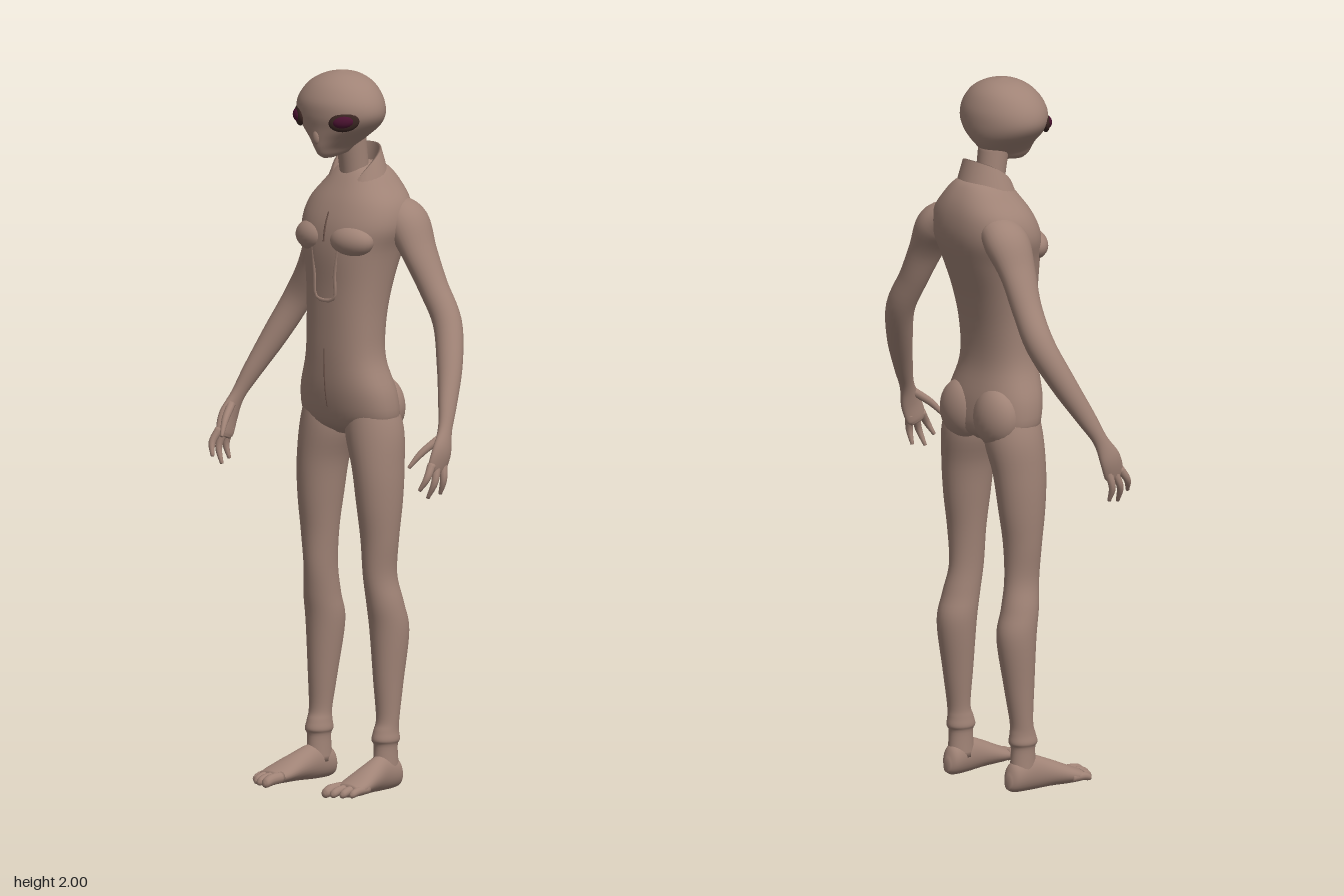
import * as THREE from 'three';

const UP = new THREE.Vector3(0, 1, 0), DOWN = new THREE.Vector3(0, -1, 0), FORE = new THREE.Vector3(0, 0, 1);
const X = new THREE.Vector3(1, 0, 0);

const skin = new THREE.MeshStandardMaterial({ color: 0xa08376 });
skin.name = 'skin';
const collarSkin = new THREE.MeshStandardMaterial({ color: 0xa08376, side: THREE.DoubleSide });
collarSkin.name = 'collar skin';
const seamMat = new THREE.MeshStandardMaterial({ color: 0x6b5249 });
seamMat.name = 'seam brown';
const socketMat = new THREE.MeshStandardMaterial({ color: 0x3a2622 });
socketMat.name = 'socket brown';
const eyeMat = new THREE.MeshStandardMaterial({ color: 0x4a1230 });
eyeMat.name = 'eye maroon';

// Smooth skin through sections [x, y, z, halfWidth, halfDepth]; axis fixes the ring plane.
function loft(sections, { axis = null, power = 2, sides = 28, sub = 5 } = {}) {
  const first = sections[0], last = sections[sections.length - 1];
  const path = new THREE.CatmullRomCurve3(sections.map(s => new THREE.Vector3(s[0], s[1], s[2])), false, 'catmullrom', 0.5);
  const size = new THREE.CatmullRomCurve3(sections.map(s => new THREE.Vector3(s[3], s[4], 0)), false, 'catmullrom', 0.5);
  const n = (sections.length - 1) * sub, pos = [], idx = [];
  const round = v => Math.sign(v) * Math.pow(Math.abs(v), 2 / power);
  const ring = (t, scale) => {
    const c = path.getPoint(t), r = size.getPoint(t);
    const T = axis || path.getTangent(t);
    const A = X.clone().addScaledVector(T, -X.dot(T)).normalize();
    const B = new THREE.Vector3().crossVectors(T, A);
    for (let j = 0; j < sides; j++) {
      const a = j / sides * Math.PI * 2;
      const p = c.clone()
        .addScaledVector(A, Math.max(r.x, 0.0005) * scale * round(Math.cos(a)))
        .addScaledVector(B, Math.max(r.y, 0.0005) * scale * round(Math.sin(a)));
      pos.push(p.x, p.y, p.z);
    }
  };
  ring(0, 0.01);
  for (let i = 0; i <= n; i++) ring(i / n, 1);
  ring(1, 0.01);
  for (let i = 0; i < n + 2; i++) for (let j = 0; j < sides; j++) {
    const k = (j + 1) % sides, a = i * sides + j, b = i * sides + k;
    idx.push(a, b, b + sides, a, b + sides, a + sides);
  }
  return surface(pos, idx);
}

function surface(pos, idx) {
  const g = new THREE.BufferGeometry();
  g.setAttribute('position', new THREE.Float32BufferAttribute(pos, 3));
  g.setIndex(idx);
  g.computeVertexNormals();
  return g;
}

// Upright body section from [y, halfWidth, frontZ, backZ].
const slab = ([y, w, f, b]) => [0, y, (f + b) / 2, w, (f - b) / 2];

function blob(x, y, z, rx, ry, rz, yaw = 0, roll = 0) {
  return new THREE.SphereGeometry(1, 24, 16).scale(rx, ry, rz).rotateZ(roll).rotateY(yaw).translate(x, y, z);
}

function mirrored(geo) {
  const g = geo.clone().scale(-1, 1, 1), ix = g.index.array;
  for (let i = 0; i < ix.length; i += 3) [ix[i], ix[i + 1]] = [ix[i + 1], ix[i]];
  g.computeVertexNormals();
  return g;
}

function seam(points, r) {
  const curve = new THREE.CatmullRomCurve3(points.map(p => new THREE.Vector3(...p)));
  return new THREE.TubeGeometry(curve, 24, r, 6);
}

// Standing collar, open at the front: outer flare, rim, then an inner lining.
function collar() {
  const rows = [
    s => [0.125, 0.12, 1.64 - 0.06 * s],
    s => [0.088, 0.085, 1.72 - 0.09 * s * s],
    s => [0.070, 0.068, 1.785 - 0.15 * s ** 2.2],
    s => [0.064, 0.061, 1.785 - 0.15 * s ** 2.2],
    s => [0.060, 0.058, 1.71 - 0.12 * s * s],
  ];
  const n = 32, pos = [], idx = [];
  rows.forEach((row, i) => {
    for (let j = 0; j <= n; j++) {
      const u = j / n * 2 - 1, a = u * Math.PI * 0.96;
      const [rx, rz, y] = row(Math.abs(u));
      pos.push(Math.sin(a) * rx, y, -0.055 - Math.cos(a) * rz);
      if (i < rows.length - 1 && j < n) {
        const p = i * (n + 1) + j, q = p + n + 1;
        idx.push(p, q, p + 1, p + 1, q, q + 1);
      }
    }
  });
  return surface(pos, idx);
}

export function createModel() {
  const model = new THREE.Group();
  model.name = 'alienFigure';
  const add = (name, geo, mat = skin) => {
    const m = new THREE.Mesh(geo, mat);
    m.name = name;
    model.add(m);
  };
  const pair = (name, geo, mat) => {
    add('left' + name, geo, mat);
    add('right' + name, mirrored(geo), mat);
  };

  // Head: wide dome narrowing to a small chin
  add('head', loft([
    [1.764, 0.012, 0.075, 0.03], [1.775, 0.026, 0.092, -0.03], [1.795, 0.042, 0.102, -0.06],
    [1.82, 0.072, 0.106, -0.085], [1.85, 0.112, 0.109, -0.1], [1.885, 0.134, 0.114, -0.105],
    [1.925, 0.128, 0.11, -0.101], [1.965, 0.098, 0.085, -0.082], [1.99, 0.053, 0.048, -0.05],
    [2.0, 0.004, 0.006, -0.006],
  ].map(slab), { axis: UP, sides: 40 }));
  add('neck', loft([[0, 1.6, -0.06, 0.05, 0.05], [0, 1.7, -0.05, 0.041, 0.042], [0, 1.83, -0.03, 0.042, 0.045]], { axis: UP }));
  pair('EyeSocket', blob(0.085, 1.874, 0.082, 0.043, 0.027, 0.012, 0.64, 0.15), socketMat);
  pair('Eye', blob(0.086, 1.875, 0.085, 0.031, 0.018, 0.015, 0.64, 0.15), eyeMat);
  add('nose', blob(0, 1.825, 0.104, 0.012, 0.02, 0.008));

  // Torso
  add('torso', loft([
    [0.985, 0.06, 0.0, -0.08], [1.02, 0.148, 0.045, -0.12], [1.1, 0.155, 0.066, -0.12],
    [1.2, 0.122, 0.072, -0.1], [1.3, 0.118, 0.072, -0.105], [1.4, 0.125, 0.072, -0.128],
    [1.5, 0.14, 0.076, -0.165], [1.57, 0.16, 0.068, -0.186], [1.63, 0.148, 0.045, -0.188],
    [1.68, 0.108, 0.015, -0.176], [1.72, 0.07, -0.015, -0.15], [1.735, 0.03, -0.04, -0.12],
  ].map(slab), { axis: UP, power: 2.3, sides: 40 }));
  pair('Chest', blob(0.07, 1.535, 0.035, 0.068, 0.045, 0.046, 0.2));
  pair('Buttock', blob(0.068, 1.06, -0.085, 0.075, 0.085, 0.055));
  add('collar', collar(), collarSkin);

  // Suit seams
  add('upperZip', seam([[0, 1.61, 0.053], [0, 1.57, 0.068], [0, 1.53, 0.074]], 0.003), seamMat);
  add('lowerZip', seam([[0, 1.23, 0.072], [0, 1.15, 0.071], [0, 1.08, 0.062], [0, 1.03, 0.047]], 0.002), seamMat);
  add('chestPanelEdge', seam([
    [-0.05, 1.53, 0.066], [-0.038, 1.44, 0.069], [-0.034, 1.375, 0.067], [0, 1.365, 0.069],
    [0.034, 1.375, 0.067], [0.038, 1.44, 0.069], [0.05, 1.53, 0.066],
  ], 0.006));

  // Arms, from shoulder to palm
  pair('Arm', loft([
    [0.09, 1.61, -0.11, 0.045, 0.055], [0.14, 1.575, -0.112, 0.055, 0.068], [0.185, 1.5, -0.113, 0.042, 0.056],
    [0.23, 1.41, -0.12, 0.039, 0.044], [0.285, 1.315, -0.12, 0.04, 0.041], [0.333, 1.21, -0.08, 0.036, 0.036],
    [0.373, 1.11, -0.03, 0.025, 0.028], [0.395, 1.045, 0.003, 0.018, 0.022], [0.407, 0.99, 0.028, 0.017, 0.034],
    [0.405, 0.945, 0.045, 0.013, 0.034], [0.403, 0.93, 0.05, 0.008, 0.024],
  ]));
  // Each finger: base, knuckle, tip
  [
    [[0.395, 1.02, 0.03], [0.375, 0.985, 0.075], [0.357, 0.945, 0.108]],
    [[0.405, 0.955, 0.066], [0.41, 0.92, 0.09], [0.395, 0.885, 0.105]],
    [[0.405, 0.95, 0.045], [0.412, 0.905, 0.062], [0.393, 0.86, 0.07]],
    [[0.405, 0.955, 0.022], [0.415, 0.91, 0.03], [0.402, 0.868, 0.03]],
  ].forEach((f, i) => pair('Finger' + (i + 1),
    loft(f.map((p, k) => [...p, [0.012, 0.01, 0.005][k], [0.012, 0.01, 0.005][k]]), { sides: 10 })));

  // Legs with knee, calf and ankle cuff
  pair('Leg', loft([
    [0.08, 1.12, -0.03, 0.05, 0.06], [0.085, 1.01, -0.038, 0.08, 0.083], [0.105, 0.9, -0.033, 0.068, 0.078],
    [0.112, 0.8, -0.031, 0.06, 0.069], [0.114, 0.7, -0.03, 0.051, 0.056], [0.113, 0.6, -0.032, 0.043, 0.052],
    [0.12, 0.52, -0.045, 0.049, 0.055], [0.122, 0.44, -0.06, 0.052, 0.058], [0.125, 0.3, -0.053, 0.04, 0.044],
    [0.128, 0.2, -0.047, 0.032, 0.033], [0.127, 0.165, -0.042, 0.033, 0.038], [0.127, 0.14, -0.04, 0.036, 0.043],
    [0.127, 0.12, -0.04, 0.03, 0.036], [0.127, 0.05, -0.04, 0.032, 0.042],
  ], { axis: DOWN }));

  // Feet and toes
  pair('Foot', loft([
    [0.125, 0.03, -0.096, 0.012, 0.018], [0.126, 0.044, -0.075, 0.03, 0.042], [0.13, 0.05, -0.02, 0.034, 0.05],
    [0.138, 0.041, 0.04, 0.042, 0.039], [0.146, 0.028, 0.1, 0.049, 0.026], [0.149, 0.02, 0.14, 0.043, 0.017],
  ], { axis: FORE }));
  [[0.114, 0.194, 0.016], [0.14, 0.19, 0.013], [0.164, 0.177, 0.013], [0.184, 0.16, 0.012]].forEach(([x, z, r], i) =>
    pair('Toe' + (i + 1), loft([
      [x, 0.024, z - 0.07, r, r], [x, 0.022, z - 0.03, r, r], [x, 0.016, z - 0.008, r * 0.85, r * 0.85], [x, 0.013, z, r * 0.3, r * 0.3],
    ], { axis: FORE, sides: 12 })));

  return model;
}
